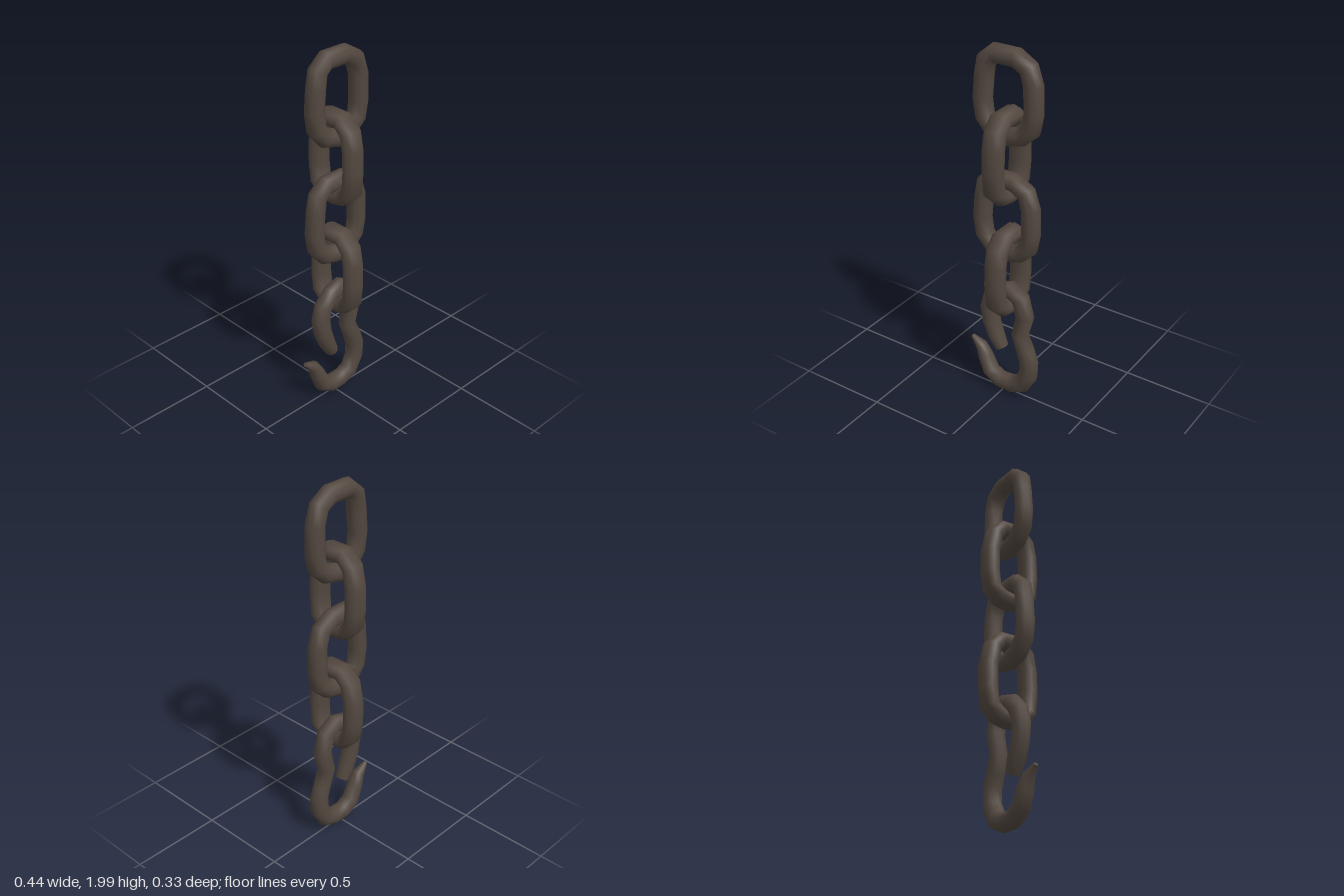
import * as THREE from 'three';

const SIDES = 10;

// Sweeps an oval section along a flat path of [x, y, in-plane radius]; open ends are capped.
function sweep(path, depth, closed) {
  const n = path.length, pos = [], idx = [];
  const at = i => closed ? path[(i + n) % n] : path[Math.min(n - 1, Math.max(0, i))];
  const ring = i => {
    const p = at(i), a = at(i - 1), b = at(i + 1);
    const t = new THREE.Vector2(b[0] - a[0], b[1] - a[1]).normalize();
    const r = p[2], w = depth * Math.min(1, r / 0.045);
    for (let j = 0; j < SIDES; j++) {
      const g = j / SIDES * Math.PI * 2, c = Math.cos(g) * r;
      pos.push(p[0] - t.y * c, p[1] + t.x * c, Math.sin(g) * w);
    }
  };
  for (let i = 0; i < n; i++) ring(i);
  const spans = closed ? n : n - 1;
  for (let i = 0; i < spans; i++) {
    for (let j = 0; j < SIDES; j++) {
      const k = (j + 1) % SIDES, m = (i + 1) % n;
      const a = i * SIDES + j, b = i * SIDES + k, c = m * SIDES + j, d = m * SIDES + k;
      idx.push(a, b, c, b, d, c);
    }
  }
  if (!closed) {
    for (const i of [0, n - 1]) {
      const s = pos.length / 3;
      ring(i);
      pos.push(path[i][0], path[i][1], 0);
      for (let j = 0; j < SIDES; j++) {
        const k = (j + 1) % SIDES;
        if (i === 0) idx.push(s + SIDES, s + k, s + j);
        else idx.push(s + SIDES, s + j, s + k);
      }
    }
  }
  const geo = new THREE.BufferGeometry();
  geo.setAttribute('position', new THREE.Float32BufferAttribute(pos, 3));
  geo.setIndex(idx);
  geo.computeVertexNormals();
  return geo;
}

export function createModel() {
  const iron = new THREE.MeshStandardMaterial({ color: 0x52473f });
  iron.name = 'dark iron';
  const group = new THREE.Group();
  group.name = 'chainWithHook';

  const add = (name, geo, x, y, turned) => {
    const mesh = new THREE.Mesh(geo, iron);
    mesh.name = name;
    mesh.position.set(x, y, 0);
    if (turned) mesh.rotation.y = Math.PI / 2;
    group.add(mesh);
  };

  // Slightly irregular hand-forged links, centred on their own middle
  const wide = [
    [-0.07, 0.205], [0.05, 0.205], [0.12, 0.165], [0.147, 0.08], [0.15, -0.06],
    [0.137, -0.14], [0.08, -0.19], [0, -0.212], [-0.08, -0.19], [-0.132, -0.13],
    [-0.145, -0.04], [-0.135, 0.08], [-0.122, 0.16],
  ].map(p => [...p, 0.05]);
  const narrow = [
    [-0.05, 0.212], [0.05, 0.212], [0.097, 0.165], [0.118, 0.06], [0.118, -0.06],
    [0.107, -0.15], [0.06, -0.195], [0, -0.207], [-0.06, -0.195], [-0.112, -0.15],
    [-0.12, -0.04], [-0.116, 0.08], [-0.1, 0.16],
  ].map(p => [...p, 0.046]);

  const wideGeo = sweep(wide, 0.05, true);
  const narrowGeo = sweep(narrow, 0.061, true);
  add('topLink', wideGeo, 0.017, 1.743, false);
  add('secondLink', narrowGeo, 0.013, 1.423, true);
  add('thirdLink', wideGeo, 0.01, 1.09, false);
  add('fourthLink', narrowGeo, 0.022, 0.773, true);

  // Hook: blunt arm, loop through the last link, neck, bowl and pointed tip
  const hook = [
    [-0.018, 0.275, 0.036], [-0.052, 0.34, 0.045], [-0.082, 0.42, 0.05], [-0.096, 0.51, 0.052],
    [-0.078, 0.58, 0.052], [-0.02, 0.64, 0.052], [0.04, 0.66, 0.05], [0.1, 0.625, 0.052],
    [0.13, 0.52, 0.05], [0.1, 0.4, 0.046], [0.135, 0.31, 0.05], [0.158, 0.24, 0.052],
    [0.155, 0.16, 0.053], [0.115, 0.083, 0.052], [0.05, 0.056, 0.051], [-0.025, 0.055, 0.05],
    [-0.09, 0.092, 0.048], [-0.125, 0.175, 0.042], [-0.155, 0.235, 0.032], [-0.212, 0.276, 0.011],
  ];
  add('hook', sweep(hook, 0.048, false), 0, 0, false);

  return group;
}
